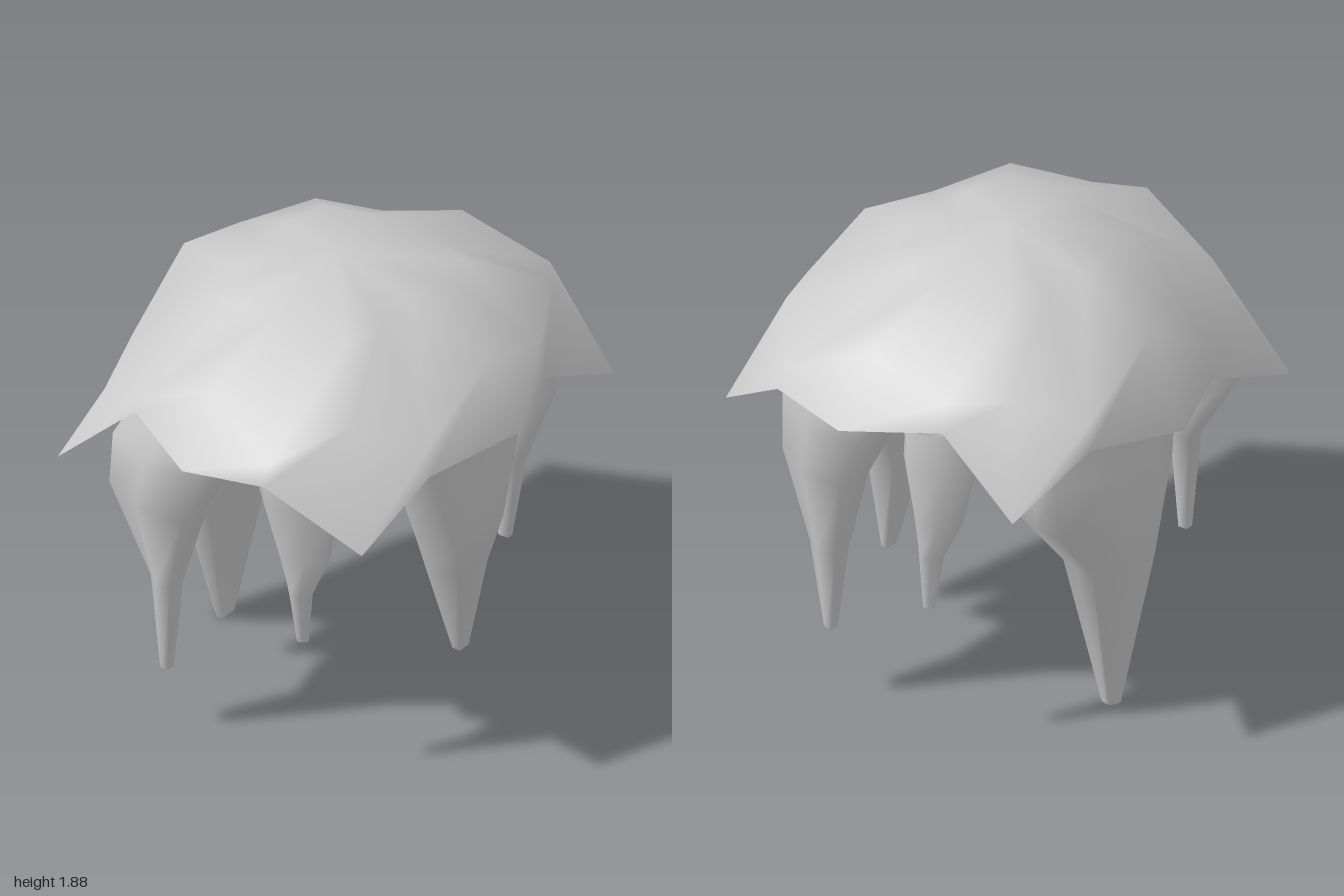
import * as THREE from 'three';

const material = new THREE.MeshStandardMaterial({ color: 0xcccccc, side: THREE.DoubleSide });

// Joins equal-length loops of [x, y, z] points, closing either end with a point
function skin(name, loops, startPoint, endPoint) {
  const n = loops[0].length;
  const pts = loops.flat();
  const index = [];
  for (let r = 0; r < loops.length - 1; r++) {
    for (let i = 0; i < n; i++) {
      const a = r * n + i, b = r * n + (i + 1) % n;
      index.push(a, a + n, b, b, a + n, b + n);
    }
  }
  if (startPoint) {
    const c = pts.push(startPoint) - 1;
    for (let i = 0; i < n; i++) index.push(c, i, (i + 1) % n);
  }
  if (endPoint) {
    const c = pts.push(endPoint) - 1, o = (loops.length - 1) * n;
    for (let i = 0; i < n; i++) index.push(c, o + (i + 1) % n, o + i);
  }
  const geo = new THREE.BufferGeometry();
  geo.setAttribute('position', new THREE.Float32BufferAttribute(pts.flat(), 3));
  geo.setIndex(index);
  geo.computeVertexNormals();
  const mesh = new THREE.Mesh(geo, material);
  mesh.name = name;
  return mesh;
}

// Jagged canopy rim, running from +x towards -z
const rim = [
  [0.88, 1.39, 0], [0.72, 1.39, -0.36], [0.72, 1.18, -0.82], [0.35, 1.42, -0.95],
  [0, 1.39, -1], [-0.36, 1.43, -0.81], [-0.72, 1.17, -0.82], [-0.82, 1.38, -0.48],
  [-0.885, 1.28, 0], [-0.72, 1.28, 0.36], [-0.72, 1.1, 0.82], [-0.36, 1.43, 0.81],
  [0, 1.39, 1], [0.35, 1.42, 0.95], [0.72, 1.18, 0.82], [0.8, 1.4, 0.49],
];

// Lumpy shoulder above the rim, in the same order
const shoulder = [
  [0.72, 1.65, 0], [0.7, 1.54, -0.36], [0.55, 1.62, -0.66], [0.35, 1.5, -0.91],
  [0, 1.65, -0.82], [-0.35, 1.54, -0.78], [-0.57, 1.58, -0.65], [-0.8, 1.48, -0.46],
  [-0.72, 1.65, 0], [-0.7, 1.43, 0.36], [-0.6, 1.38, 0.68], [-0.36, 1.48, 0.79],
  [0, 1.65, 0.82], [0.35, 1.5, 0.91], [0.55, 1.62, 0.66], [0.77, 1.5, 0.46],
];

// Crown ring: one quarter mirrored around the dome
const quarter = [[0.37, 1.78, 0], [0.36, 1.78, 0.2], [0.33, 1.77, 0.38], [0.18, 1.78, 0.4], [0, 1.78, 0.41]];
const crown = rim.map(([rx, , rz], i) => {
  const k = i % 8;
  const [x, y, z] = quarter[k <= 4 ? k : 8 - k];
  return [x * Math.sign(rx), y, z * Math.sign(rz)];
});

function canopy() {
  const group = new THREE.Group();
  group.name = 'canopy';
  group.add(skin('canopyTop', [crown, shoulder, rim], [0, 1.875, 0]));
  // Shallow underside, drooping only at the rim points
  const inner = rim.map(([x, y, z]) => [x * 0.72, 1.36 + (y - 1.36) * 0.25, z * 0.72]);
  group.add(skin('canopyUnderside', [rim, inner], null, [0, 1.34, 0]));
  return group;
}

// Leg cross-sections as [x, z] outlines within a unit square
const half = outline => outline.map(([x, z]) => [-x, -z]);
const slab = [[1, 0.9], [1, -0.9], [0.3, -1], [-0.4, -1], [-1, -0.4], [-1, 0.2], [0.2, 1]];
const blade = [[1, 1], [1, -0.4], [0.2, -1], [-0.9, -1], [-1, 0.3], [-0.3, 1]];
const wedge = [[1, 0.9], [1, -0.2], [0.1, -1], [-0.9, -0.9], [-1, 0.3], [-0.4, 1]];
const oval = [[1, -0.2], [0.6, -0.8], [-0.2, -1], [-0.9, -0.5], [-1, 0.3], [-0.4, 1], [0.4, 0.75]];

// Spike legs: outline, then rows of [y, xMin, xMax, zMin, zMax], tip first
const legs = {
  rightLeg: [slab, [
    [0, -0.62, -0.56, -0.11, -0.03], [0.65, -0.71, -0.47, -0.25, 0.22],
    [0.91, -0.755, -0.42, -0.46, 0.32], [1.12, -0.74, -0.42, -0.48, 0.34], [1.39, -0.74, -0.45, -0.5, 0.37],
  ]],
  leftLeg: [blade, [
    [0.27, 0.51, 0.565, -0.11, -0.03], [0.7, 0.43, 0.665, -0.16, 0.12],
    [0.88, 0.41, 0.705, -0.25, 0.19], [1.2, 0.4, 0.7, -0.42, 0.31], [1.4, 0.42, 0.7, -0.49, 0.38],
  ]],
  frontRightLeg: [half(wedge), [
    [0.29, -0.29, -0.235, 0.71, 0.77], [0.7, -0.31, -0.18, 0.7, 0.83],
    [1.03, -0.52, -0.1, 0.62, 0.85], [1.25, -0.51, 0, 0.57, 0.87], [1.43, -0.42, 0.06, 0.55, 0.83],
  ]],
  frontLeftLeg: [oval, [
    [0.63, 0.35, 0.4, 0.71, 0.75], [0.85, 0.33, 0.42, 0.69, 0.79],
    [1.02, 0.27, 0.49, 0.65, 0.81], [1.25, 0.19, 0.52, 0.58, 0.85], [1.42, 0.17, 0.52, 0.55, 0.86],
  ]],
  backLeftLeg: [wedge, [
    [0.32, 0.22, 0.28, -0.78, -0.73], [0.68, 0.17, 0.34, -0.82, -0.7],
    [1.03, 0.1, 0.48, -0.86, -0.63], [1.25, 0, 0.49, -0.88, -0.57], [1.4, -0.05, 0.45, -0.88, -0.55],
  ]],
  backRightLeg: [half(oval), [
    [0.62, -0.3, -0.25, -0.81, -0.77], [0.85, -0.33, -0.23, -0.83, -0.73],
    [1.02, -0.41, -0.2, -0.85, -0.69], [1.25, -0.46, -0.15, -0.88, -0.63], [1.42, -0.44, -0.14, -0.87, -0.58],
  ]],
};

function spike(name, outline, rows) {
  const loops = rows.map(([y, x0, x1, z0, z1]) => outline.map(([u, v]) => [
    (x0 + x1) / 2 + u * (x1 - x0) / 2, y, (z0 + z1) / 2 + v * (z1 - z0) / 2,
  ])).reverse();
  const [y, x0, x1, z0, z1] = rows[0];
  return skin(name, loops, null, [(x0 + x1) / 2, y, (z0 + z1) / 2]);
}

export function createModel() {
  const model = new THREE.Group();
  model.name = 'spikedCanopy';
  model.add(canopy());
  for (const [name, [outline, rows]] of Object.entries(legs)) model.add(spike(name, outline, rows));
  return model;
}
